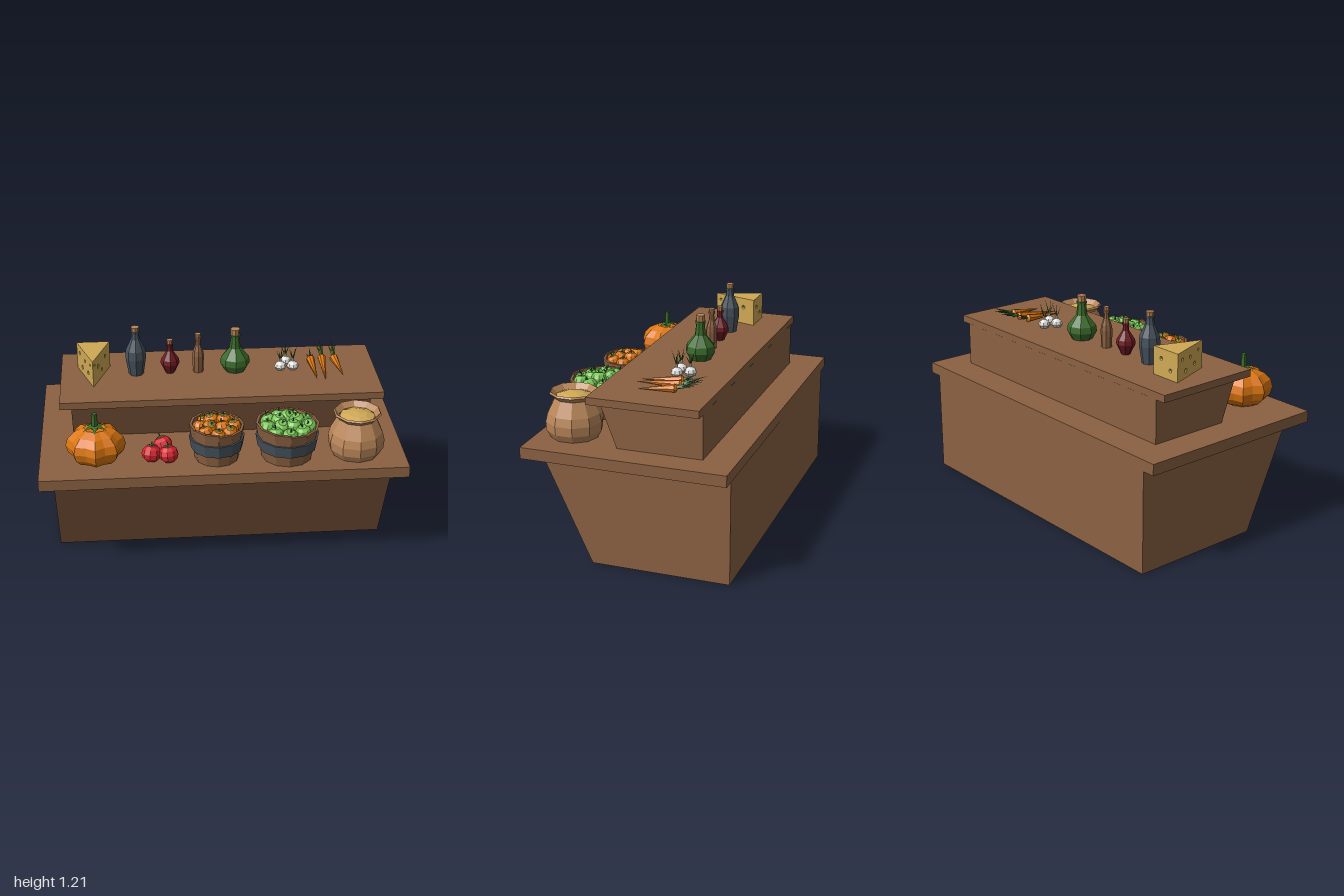
import * as THREE from 'three';

const mat = (name, color, double = false) => {
  const m = new THREE.MeshStandardMaterial({ color });
  m.name = name;
  if (double) m.side = THREE.DoubleSide;
  return m;
};
const M = {
  wood: mat('wood', 0x8b6142), tan: mat('tan clay', 0xb98659, true), slate: mat('slate', 0x47525c, true),
  wine: mat('wine red', 0x6e1a22), green: mat('dark green', 0x3a6a2a, true), orange: mat('orange', 0xdb7610),
  apple: mat('apple green', 0x78c455), red: mat('tomato red', 0xd42530), cheese: mat('cheese yellow', 0xd0a955, true),
  white: mat('garlic white', 0xe2e0dc),
};

// Faceted shading from geometry normals
const flat = (g) => {
  const f = g.index ? g.toNonIndexed() : g;
  f.computeVertexNormals();
  return f;
};
const add = (parent, name, geo, material, x = 0, y = 0, z = 0) => {
  const m = new THREE.Mesh(flat(geo), material);
  m.name = name;
  m.position.set(x, y, z);
  parent.add(m);
  return m;
};
const group = (parent, name, x = 0, y = 0, z = 0) => {
  const g = new THREE.Group();
  g.name = name;
  g.position.set(x, y, z);
  parent.add(g);
  return g;
};
const lathe = (pts, n) => new THREE.LatheGeometry(pts.map(([r, y]) => new THREE.Vector2(r, y)), n);
const wobble = (i, k = 1) => Math.sin(i * 12.99 * k + k * 4.1);

// Side profile (z, y) swept across x
function prism(profile, x0, x1) {
  const s = new THREE.Shape(profile.map(([z, y]) => new THREE.Vector2(z, y)));
  const g = new THREE.ExtrudeGeometry(s, { depth: x1 - x0, bevelEnabled: false });
  return g.rotateY(-Math.PI / 2).translate(x1, 0, 0);
}

// Thin tapered blade between two points
function spike(parent, name, material, from, to, r, n = 4) {
  const a = new THREE.Vector3(...from), d = new THREE.Vector3(...to).sub(a);
  const g = new THREE.ConeGeometry(r, d.length(), n).translate(0, d.length() / 2, 0);
  const m = add(parent, name, g, material, ...from);
  m.quaternion.setFromUnitVectors(new THREE.Vector3(0, 1, 0), d.normalize());
  return m;
}

// Star-shaped leaf cap
function star(r, h, points) {
  const g = new THREE.ConeGeometry(r, h, points * 2, 1, true), p = g.attributes.position;
  for (let i = 0; i < p.count; i++) {
    const a = Math.round(Math.atan2(p.getX(i), p.getZ(i)) / (Math.PI / points));
    if (p.getY(i) < 0 && Math.abs(a) % 2) p.setXYZ(i, p.getX(i) * 0.4, h * 0.1, p.getZ(i) * 0.4);
  }
  return g;
}

// Ribbed ball with dimpled top; ribs follow a cosine
function ribbed(r, squash, ribs, depth, rows) {
  const g = new THREE.SphereGeometry(r, ribs ? ribs * 2 : 9, rows), p = g.attributes.position;
  for (let i = 0; i < p.count; i++) {
    const x = p.getX(i), y = p.getY(i), z = p.getZ(i);
    const k = 1 + depth * (Math.cos(Math.atan2(z, x) * ribs) - 1) / 2;
    const dip = Math.hypot(x, z) < r * 0.1 ? 0.84 : 1;
    p.setXYZ(i, x * k, y * squash * dip, z * k);
  }
  return g;
}

function fruit(parent, name, material, x, y, z, r, i, leafy) {
  const f = group(parent, name, x, y, z);
  f.rotation.set(wobble(i) * 0.35, i * 2.1, wobble(i, 2) * 0.35);
  add(f, name + 'Body', ribbed(r, 0.9, 0, 0, 6), material);
  if (leafy) add(f, name + 'Leaves', star(r * 0.6, r * 0.2, 5), M.green, 0, r * 0.87, 0);
  else spike(f, name + 'Leaf', M.green, [0, r * 0.85, 0], [r * 0.45, r * 1.1, 0], r * 0.12, 3);
  add(f, name + 'Stem', new THREE.CylinderGeometry(r * 0.06, r * 0.1, r * 0.45, 5), M.green, 0, r * 0.98, 0);
}

// Staved basket with iron band and heaped fruit
function basket(parent, name, x, z, rb, rt, fruitName, material, fr, outer, inner, leafy) {
  const b = group(parent, name, x, 0.64, z), n = 12, h = 0.2;
  for (let i = 0; i < n; i++) {
    const holder = group(b, 'staveHolder');
    holder.rotation.y = (i + 0.5) * Math.PI * 2 / n;
    const sh = h + wobble(i) * 0.006;
    const g = new THREE.BoxGeometry(1, sh, 0.014).translate(0, sh / 2, 0), p = g.attributes.position;
    for (let j = 0; j < p.count; j++) {
      const r = p.getY(j) > 0.1 ? rt : rb;
      p.setX(j, p.getX(j) * 2 * r * Math.tan(Math.PI / n) * 0.97);
      p.setZ(j, p.getZ(j) + r - 0.012);
    }
    add(holder, 'stave', g, M.wood);
  }
  const at = (y) => (rb + (rt - rb) * y / h) / Math.cos(Math.PI / n) + 0.006;
  add(b, 'band', lathe([[at(0.07) - 0.01, 0.065], [at(0.065), 0.065], [at(0.135), 0.135], [at(0.135) - 0.01, 0.135]], n), M.slate);
  add(b, 'basketFill', new THREE.CylinderGeometry(rt - 0.02, rb - 0.015, 0.145, n), M.wood, 0, 0.0725, 0);
  const ring = (count, rad, y, shift) => {
    for (let i = 0; i < count; i++) {
      const a = (i + shift) * Math.PI * 2 / count;
      fruit(b, fruitName, material, Math.sin(a) * rad, y + wobble(i, 3) * 0.007, Math.cos(a) * rad, fr, i + count, leafy);
    }
  };
  ring(outer, rt - 0.015 - fr, 0.178, 0);
  ring(inner, fr * 1.15, 0.2, 0.4);
}

// Bottle with lip and cork; profile is [radius, height]
function bottle(parent, name, material, x, z, profile, corkTop) {
  const b = group(parent, name, x, 0.925, z), [nr, ny] = profile[profile.length - 1];
  add(b, 'glass', lathe([[0, 0], ...profile, [nr + 0.006, ny], [nr + 0.006, ny + 0.012], [0, ny + 0.012]], 8), material);
  add(b, 'cork', new THREE.CylinderGeometry(nr + 0.003, nr, corkTop - ny, 8), M.tan, 0, (corkTop + ny) / 2 + 0.002, 0);
}

// Cheese wall with conical pits; holes are [x, y, radius]
function cheeseWall(parent, p, q, h, holes) {
  const dx = q[0] - p[0], dz = q[1] - p[1], L = Math.hypot(dx, dz);
  const wall = group(parent, 'cheeseSide', p[0], 0, p[1]);
  wall.rotation.y = Math.atan2(-dz, dx);
  const s = new THREE.Shape([[0, 0], [L, 0], [L, h], [0, h]].map((c) => new THREE.Vector2(...c)));
  for (const [x, y, r] of holes) {
    s.holes.push(new THREE.Path([0, 1, 2, 3, 4, 5].map((i) =>
      new THREE.Vector2(x + r * Math.sin(i * Math.PI / 3), y + r * Math.cos(i * Math.PI / 3)))));
    add(wall, 'cheeseHole', new THREE.ConeGeometry(r, r, 6, 1, true).rotateX(-Math.PI / 2), M.cheese, x, y, -r / 2);
  }
  add(wall, 'cheeseFace', new THREE.ShapeGeometry(s), M.cheese);
}

export function createModel() {
  const root = new THREE.Group();
  root.name = 'marketStall';

  // Counter and raised shelf
  add(root, 'counterBase', prism([[0.2, 0], [0.47, 0.578], [-0.563, 0.578], [-0.563, 0]], -0.925, 0.925), M.wood);
  add(root, 'counterTop', new THREE.BoxGeometry(2, 0.063, 1.13), M.wood, 0, 0.6085, 0);
  add(root, 'shelfBase', prism([[0.083, 0.638], [0.178, 0.886], [-0.388, 0.886], [-0.388, 0.638]], -0.82, 0.845), M.wood);
  add(root, 'shelfTop', new THREE.BoxGeometry(1.785, 0.041, 0.615), M.wood, 0.0125, 0.9045, -0.08);

  // Pumpkin
  const pumpkin = group(root, 'pumpkin', -0.69, 0.745, 0.37);
  add(pumpkin, 'pumpkinBody', ribbed(0.163, 0.68, 8, 0.14, 8), M.orange);
  add(pumpkin, 'pumpkinCap', star(0.075, 0.025, 6), M.green, 0, 0.111, 0);
  add(pumpkin, 'pumpkinStem', new THREE.CylinderGeometry(0.015, 0.02, 0.09, 6), M.green, 0, 0.142, 0);

  // Tomatoes
  [[-0.325, 0.305], [-0.39, 0.395], [-0.298, 0.41]].forEach(([x, z], i) =>
    fruit(root, 'tomato', M.red, x, 0.69, z, 0.055, i, true));

  // Baskets
  basket(root, 'orangeBasket', -0.033, 0.365, 0.122, 0.15, 'orangeFruit', M.orange, 0.042, 8, 4, true);
  basket(root, 'appleBasket', 0.352, 0.375, 0.14, 0.174, 'appleFruit', M.apple, 0.045, 9, 5, false);

  // Grain pot
  const pot = group(root, 'grainPot', 0.733, 0.64, 0.368);
  add(pot, 'potBody', lathe([[0, 0], [0.13, 0], [0.152, 0.04], [0.156, 0.09], [0.145, 0.135], [0.105, 0.215],
    [0.132, 0.242], [0.125, 0.252], [0.098, 0.222]], 10), M.tan);
  add(pot, 'grain', lathe([[0.1, 0.222], [0.055, 0.238], [0, 0.245]], 8), M.cheese);

  // Cheese wedge
  const cheese = group(root, 'cheese', 0, 0.925, 0), h = 0.155;
  const A = [-0.787, -0.213], B = [-0.602, -0.213], T = [-0.695, 0.048];
  cheeseWall(cheese, A, T, h, [[0.05, 0.11, 0.012], [0.09, 0.04, 0.014], [0.14, 0.1, 0.011], [0.19, 0.05, 0.013], [0.23, 0.115, 0.009]]);
  cheeseWall(cheese, T, B, h, [[0.03, 0.12, 0.009], [0.085, 0.09, 0.014], [0.14, 0.045, 0.011], [0.2, 0.1, 0.013]]);
  cheeseWall(cheese, B, A, h, [[0.06, 0.1, 0.012], [0.13, 0.05, 0.012]]);
  const tri = new THREE.Shape([A, T, B].map(([x, z]) => new THREE.Vector2(x, -z)));
  for (const y of [0.001, h]) add(cheese, 'cheeseCap', new THREE.ShapeGeometry(tri).rotateX(-Math.PI / 2), M.cheese, 0, y, 0);

  // Bottles
  bottle(root, 'slateBottle', M.slate, -0.455, -0.11, [[0.042, 0], [0.058, 0.1], [0.055, 0.15], [0.026, 0.215], [0.02, 0.25]], 0.285);
  bottle(root, 'wineBottle', M.wine, -0.263, -0.112, [[0.025, 0], [0.054, 0.06], [0.05, 0.085], [0.018, 0.135], [0.014, 0.165]], 0.2);
  bottle(root, 'brownBottle', M.wood, -0.103, -0.115, [[0.03, 0], [0.033, 0.1], [0.028, 0.13], [0.016, 0.165], [0.014, 0.2]], 0.23);
  bottle(root, 'greenBottle', M.green, 0.107, -0.12, [[0.06, 0], [0.085, 0.045], [0.08, 0.08], [0.032, 0.138], [0.024, 0.205]], 0.25);

  // Garlic bulbs with sprouts
  [[0.4, -0.165], [0.365, -0.1], [0.436, -0.1]].forEach(([x, z], i) => {
    const g = group(root, 'garlic', x, 0.925, z);
    add(g, 'garlicBulb', lathe([[0, 0], [0.022, 0], [0.035, 0.018], [0.028, 0.036], [0.008, 0.05], [0.005, 0.07], [0, 0.072]], 8), M.white);
    for (let k = 0; k < 4; k++) {
      const a = k * Math.PI / 2 + i;
      spike(g, 'garlicSprout', M.green, [0, 0.06, 0], [Math.sin(a) * 0.028, 0.11 + ((k + i) % 3) * 0.02, Math.cos(a) * 0.028], 0.004);
    }
  });

  // Carrots: head x, head z, tip x, tip z, leaf end z
  [[0.548, -0.172, 0.556, 0.055, -0.25], [0.615, -0.185, 0.602, 0.07, -0.335], [0.684, -0.18, 0.71, 0.022, -0.33]].forEach(([x, z, tx, tz, lz]) => {
    const c = group(root, 'carrot');
    spike(c, 'carrotRoot', M.orange, [x, 0.948, z], [tx, 0.932, tz], 0.024, 7);
    spike(c, 'carrotCrown', M.orange, [x, 0.948, z], [x, 0.951, z - 0.018], 0.024, 7);
    for (let k = -1; k <= 1; k++) {
      spike(c, 'carrotLeaf', M.green, [x, 0.95, z], [x + k * 0.02, 0.985 + (lz < -0.3 ? 0.025 : 0) - Math.abs(k) * 0.03, lz + Math.abs(k) * 0.025], 0.009);
    }
  });
  return root;
}
